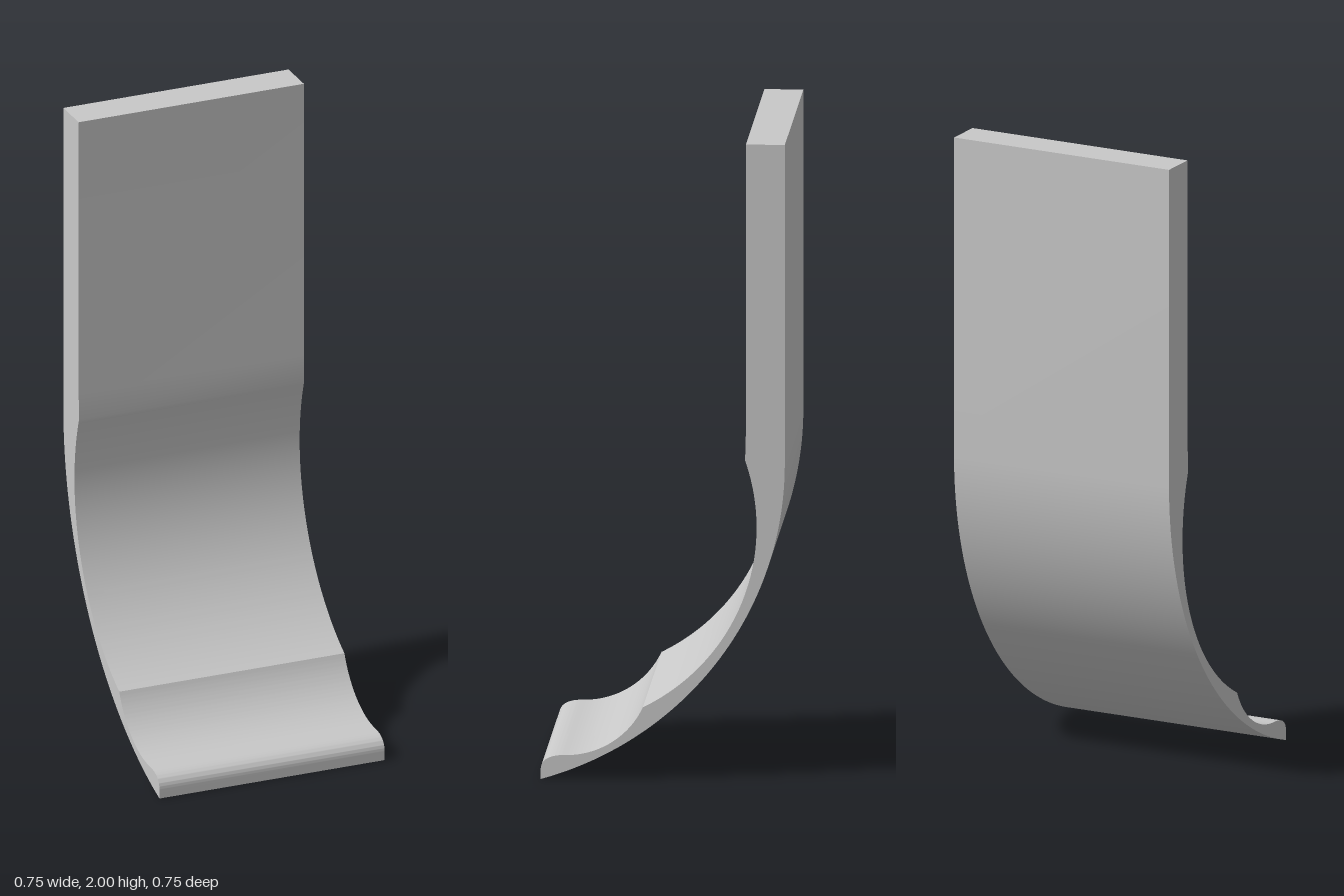
import * as THREE from 'three';
import { toCreasedNormals } from 'three/addons/utils/BufferGeometryUtils.js';

const WIDTH = 0.747;

// Continues a profile along a circular arc about (cz, cy) to the point (z, y)
function arcTo(shape, cz, cy, z, y, clockwise) {
  const p = shape.currentPoint;
  const radius = Math.hypot(p.x - cz, p.y - cy);
  const from = Math.atan2(p.y - cy, p.x - cz);
  const to = Math.atan2(y - cy, z - cz);
  shape.absarc(cz, cy, radius, from, to, clockwise);
}

export function createModel() {
  const group = new THREE.Group();
  group.name = 'curvedBlade';
  const grey = new THREE.MeshStandardMaterial({ color: 0xc8c8c8 });
  grey.name = 'light grey';

  // Side profile, drawn as (z, y)
  const profile = new THREE.Shape();
  profile.moveTo(-0.373, 2);
  profile.lineTo(-0.373, 1);
  arcTo(profile, 0.669, 1, 0.374, 0, false);                    // sweeping back
  profile.lineTo(0.374, 0.03);
  profile.bezierCurveTo(0.374, 0.06, 0.35, 0.077, 0.30, 0.077); // rounded lip
  arcTo(profile, 0.30, 0.339, 0.06, 0.23, true);                // hollow behind the lip
  arcTo(profile, 0.353, 0.8, -0.254, 1.01, true);               // long inner hollow
  profile.lineTo(-0.254, 1.1);
  profile.lineTo(-0.254, 2);
  profile.closePath();

  // Extrude across the width, then turn the profile to face +z
  const geometry = new THREE.ExtrudeGeometry(profile, {
    depth: WIDTH, bevelEnabled: false, curveSegments: 40,
  });
  geometry.translate(0, 0, -WIDTH / 2);
  geometry.rotateY(-Math.PI / 2);

  const blade = new THREE.Mesh(toCreasedNormals(geometry, THREE.MathUtils.degToRad(30)), grey);
  blade.name = 'blade';
  group.add(blade);
  return group;
}
